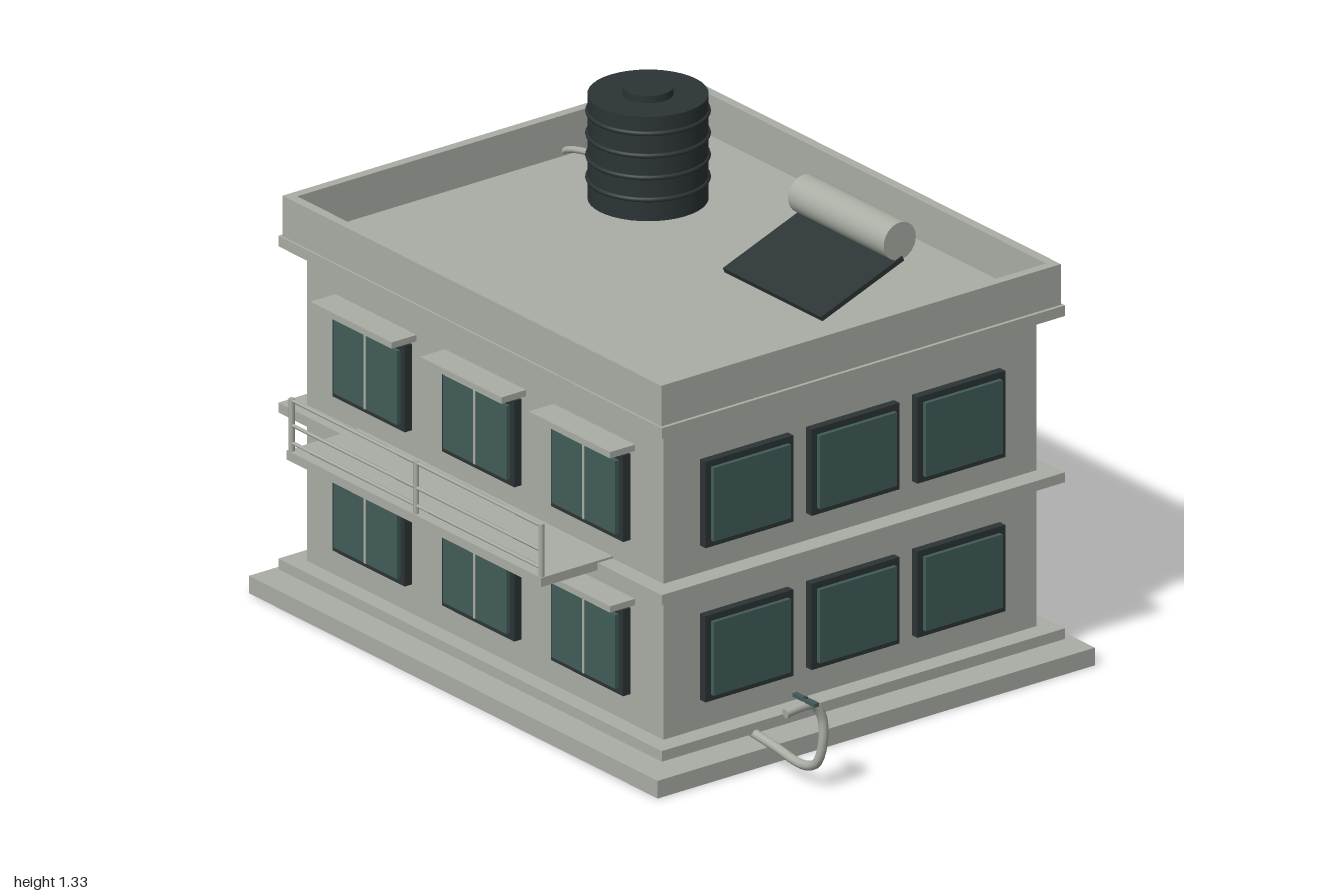
import * as THREE from 'three';

const mat = (name, color) => {
  const m = new THREE.MeshStandardMaterial({ color });
  m.name = name;
  return m;
};

export function createModel() {
  const concrete = mat('concrete', 0xa9aea5);
  const dark = mat('darkFrame', 0x2c3435);
  const glass = mat('glass', 0x415c59);
  const root = new THREE.Group();
  const CX = -0.135, CZ = -0.065; // building centre

  const add = (name, geo, m, parent = root) => {
    const mesh = new THREE.Mesh(geo, m);
    mesh.name = name;
    parent.add(mesh);
    return mesh;
  };
  // Box given by its minimum and maximum along each axis
  const box = (name, x0, x1, y0, y1, z0, z1, m = concrete, parent = root) => {
    const mesh = add(name, new THREE.BoxGeometry(x1 - x0, y1 - y0, z1 - z0), m, parent);
    mesh.position.set((x0 + x1) / 2, (y0 + y1) / 2, (z0 + z1) / 2);
    return mesh;
  };
  const tube = (name, pts, r) => {
    const curve = new THREE.CatmullRomCurve3(pts.map(p => new THREE.Vector3(...p)));
    add(name, new THREE.TubeGeometry(curve, 40, r, 10), concrete);
    // End caps
    [0, 1].forEach(t => {
      const cap = add(name + 'End', new THREE.CircleGeometry(r, 10), concrete);
      const dir = curve.getTangent(t).multiplyScalar(t ? 1 : -1);
      cap.position.copy(curve.getPoint(t));
      cap.quaternion.setFromUnitVectors(new THREE.Vector3(0, 0, 1), dir);
    });
  };

  // Foundation, walls and the ledges between floors
  box('foundation', -1, 0.73, 0, 0.05, -0.787, 0.655);
  box('walls', -0.89, 0.62, 0.04, 1.0, -0.68, 0.55);
  [[0.072, 0.102], [0.515, 0.543], [0.985, 1.015]].forEach(([y0, y1]) =>
    box('ledge', -0.947, 0.677, y0, y1, -0.73, 0.6));

  // Parapet: a rectangular ring raised around the flat roof
  const rect = (T, hx, hz) => {
    const s = new T();
    s.moveTo(-hx, -hz);
    s.lineTo(hx, -hz);
    s.lineTo(hx, hz);
    s.lineTo(-hx, hz);
    s.closePath();
    return s;
  };
  const ring = rect(THREE.Shape, 0.802, 0.659);
  ring.holes.push(rect(THREE.Path, 0.775, 0.632));
  const parapet = add('parapet', new THREE.ExtrudeGeometry(ring, { depth: 0.115, bevelEnabled: false }), concrete);
  parapet.rotation.x = -Math.PI / 2;
  parapet.position.set(CX, 1.015, CZ);

  // Framed opening facing +z, its back on z = 0
  const opening = (name, w, h, x, y, z, turn, mullion) => {
    const g = new THREE.Group();
    g.name = name;
    const b = 0.018;
    box('frame', -w / 2, w / 2, -h / 2, h / 2, -0.005, 0.024, dark, g);
    box('pane', -w / 2 + b, w / 2 - b, -h / 2 + b, h / 2 - b, 0, 0.036, glass, g);
    if (mullion) box('mullion', -0.004, 0.004, -h / 2 + b, h / 2 - b, 0.03, 0.038, concrete, g);
    g.position.set(x, y, z);
    g.rotation.y = turn;
    root.add(g);
  };
  [0.306, 0.742].forEach(y => {
    [-0.598, -0.134, 0.327].forEach(x => {
      opening('frontWindow', 0.305, 0.244, x, y, 0.55, 0, true);
      box('windowCanopy', x - 0.172, x + 0.172, y + 0.136, y + 0.154, 0.54, 0.632);
    });
    [0.285, -0.065, -0.414].forEach(z => {
      opening('leftWindow', 0.29, 0.244, 0.62, y, z, Math.PI / 2);
      opening('rightWindow', 0.29, 0.244, -0.89, y, z, -Math.PI / 2);
    });
  });
  opening('backDoor', 0.2, 0.322, CX, 0.219, -0.68, Math.PI);

  // Balcony with a thin railing along its front edge
  box('balconyFloor', -0.672, 0.405, 0.523, 0.549, 0.55, 0.787);
  [-0.662, -0.135, 0.395].forEach(x => {
    const post = add('railingPost', new THREE.CylinderGeometry(0.008, 0.008, 0.155, 8), concrete);
    post.position.set(x, 0.62, 0.778);
  });
  [0.692, 0.622, 0.572].forEach(y => {
    const rail = add('railingBar', new THREE.CylinderGeometry(0.005, 0.005, 1.06, 8), concrete);
    rail.rotation.z = Math.PI / 2;
    rail.position.set(-0.134, y, 0.778);
  });

  // Water tank with raised bands and a lid
  const tank = new THREE.Group();
  tank.name = 'waterTank';
  tank.position.set(-0.556, 0, -0.315);
  root.add(tank);
  add('tankBody', new THREE.CylinderGeometry(0.158, 0.158, 0.295, 40), dark, tank).position.y = 1.1625;
  [1.075, 1.137, 1.199, 1.262].forEach(y => {
    const band = add('tankBand', new THREE.TorusGeometry(0.157, 0.007, 8, 40), dark, tank);
    band.rotation.x = Math.PI / 2;
    band.position.y = y;
  });
  add('tankLid', new THREE.CylinderGeometry(0.067, 0.067, 0.03, 32), dark, tank).position.y = 1.315;

  // Solar heater: a tilted panel below a horizontal boiler
  const panel = add('solarPanel', new THREE.BoxGeometry(0.415, 0.014, 0.288), dark);
  panel.rotation.x = 0.36;
  panel.position.set(0.183, 1.082, -0.285);
  const boiler = add('boiler', new THREE.CylinderGeometry(0.053, 0.053, 0.405, 32), concrete);
  boiler.rotation.z = Math.PI / 2;
  boiler.position.set(0.183, 1.182, -0.412);

  // Drain pipe from the tank, through the parapet and down the side
  tube('drainPipe', [[-0.69, 1.075, -0.315], [-0.8, 1.06, -0.315], [-0.91, 1.03, -0.315],
    [-0.965, 0.97, -0.315], [-0.981, 0.8, -0.315], [-0.976, 0.5, -0.315],
    [-0.96, 0.25, -0.315], [-0.95, 0.07, -0.315]], 0.009);

  // Garden tap: a bent pipe, a spout towards the front and a handle
  tube('tapPipe', [[0.61, 0.075, 0.29], [0.75, 0.062, 0.29], [0.88, 0.05, 0.29], [0.935, 0.075, 0.29],
    [0.955, 0.14, 0.285], [0.953, 0.21, 0.287], [0.95, 0.25, 0.312], [0.949, 0.253, 0.35],
    [0.949, 0.248, 0.405]], 0.013);
  add('tapStem', new THREE.CylinderGeometry(0.006, 0.006, 0.03, 8), dark).position.set(0.949, 0.262, 0.337);
  box('tapHandle', 0.902, 0.995, 0.264, 0.275, 0.33, 0.344, glass);

  return root;
}
